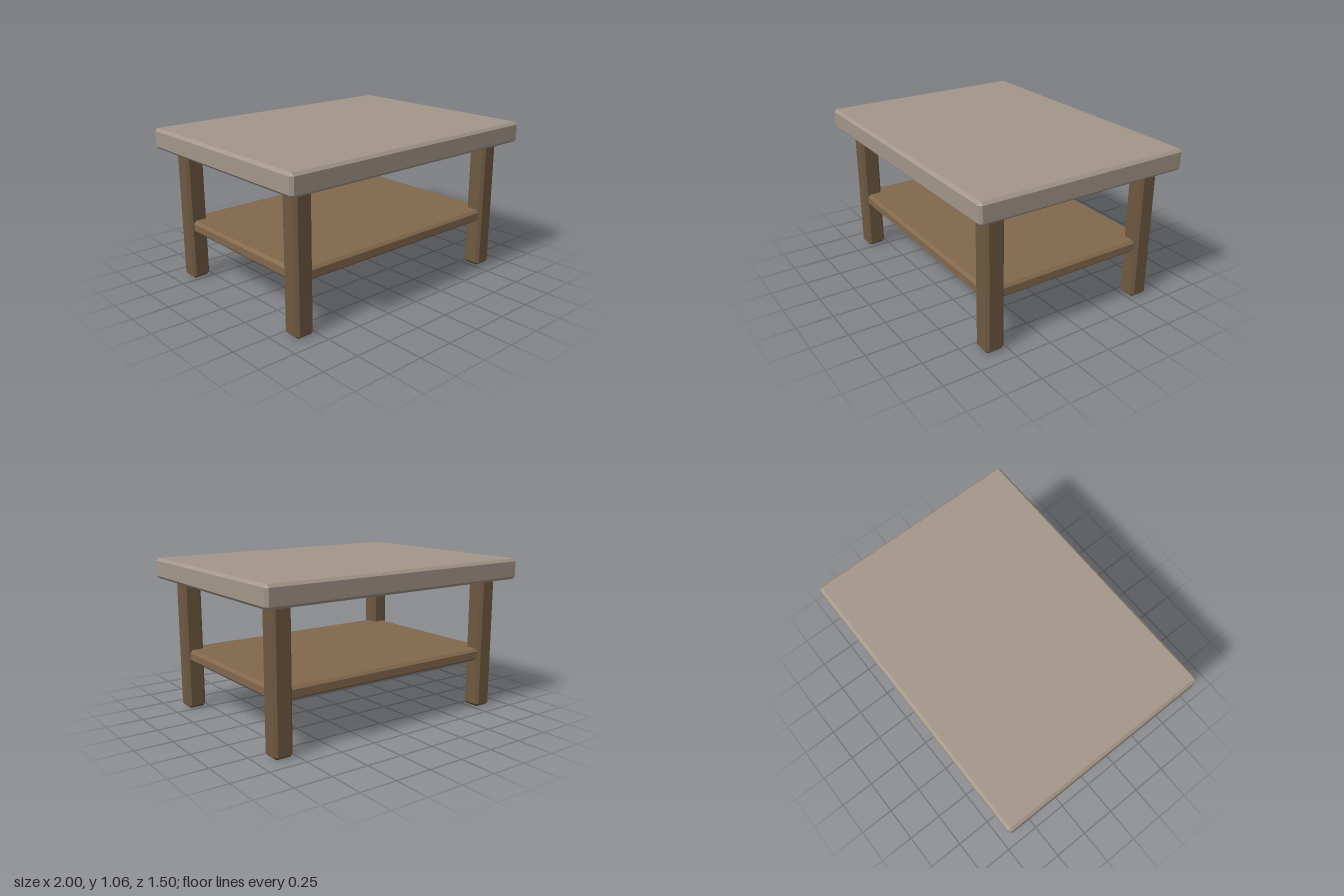
import * as THREE from 'three';
import { ConvexGeometry } from 'three/addons/geometries/ConvexGeometry.js';

// Box with every edge cut by a flat chamfer
function chamferBox(w, h, d, c) {
  const points = [];
  for (const x of [-1, 1]) for (const y of [-1, 1]) for (const z of [-1, 1]) {
    for (let face = 0; face < 3; face++) {
      const inset = [0, 1, 2].map(axis => (axis === face ? 0 : c));
      points.push(new THREE.Vector3(
        x * (w / 2 - inset[0]), y * (h / 2 - inset[1]), z * (d / 2 - inset[2])));
    }
  }
  return new ConvexGeometry(points);
}

export function createModel() {
  const table = new THREE.Group();
  table.name = 'coffeeTable';

  const material = color => new THREE.MeshStandardMaterial({ color, flatShading: true });
  const topMaterial = material(0xa39689);
  const legMaterial = material(0x6e5942);
  const shelfMaterial = material(0x82684d);

  const add = (name, geometry, mat, x, y, z) => {
    const mesh = new THREE.Mesh(geometry, mat);
    mesh.name = name;
    mesh.position.set(x, y, z);
    table.add(mesh);
  };

  // Thick slab top
  add('tableTop', chamferBox(2, 0.142, 1.5, 0.018), topMaterial, 0, 0.986, 0);

  // Four square legs
  const legGeometry = chamferBox(0.13, 0.915, 0.13, 0.019);
  for (const [side, x] of [['Left', 0.835], ['Right', -0.835]]) {
    for (const [end, z] of [['front', 0.582], ['back', -0.582]]) {
      add(`${end}${side}Leg`, legGeometry, legMaterial, x, 0.4575, z);
    }
  }

  // Lower shelf, its corners set into the legs
  add('shelf', chamferBox(1.75, 0.084, 1.255, 0.018), shelfMaterial, 0, 0.382, 0);

  return table;
}
